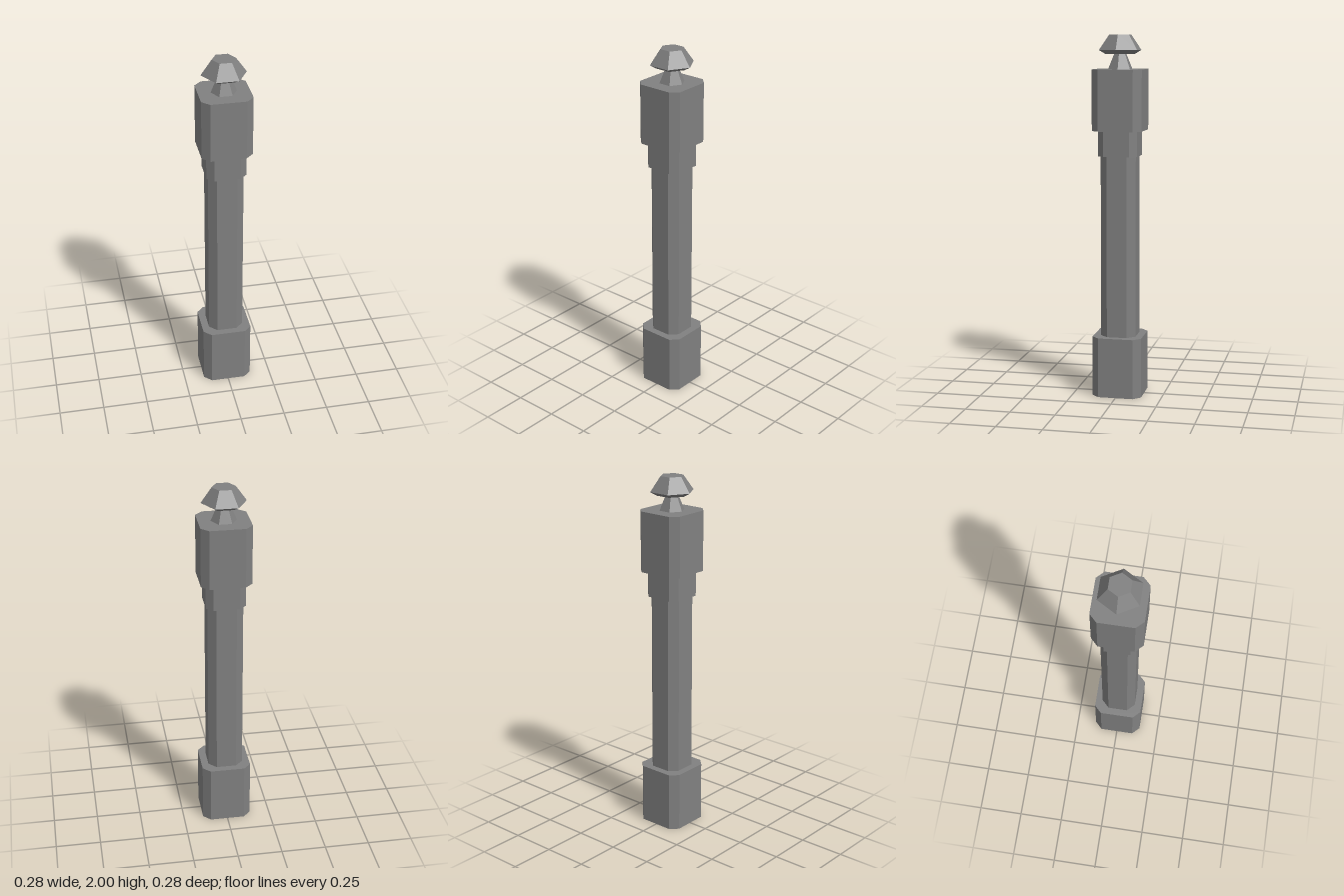
import * as THREE from 'three';

const material = new THREE.MeshStandardMaterial({ color: 0x808080, flatShading: true });

// Square prism with chamfered corners; w = half width, f = half width of the flat face
function chamferedBlock(name, w, f, y0, y1) {
  const shape = new THREE.Shape([
    [w, -f], [w, f], [f, w], [-f, w], [-w, f], [-w, -f], [-f, -w], [f, -w],
  ].map(([x, y]) => new THREE.Vector2(x, y)));
  const geometry = new THREE.ExtrudeGeometry(shape, { depth: y1 - y0, bevelEnabled: false });
  geometry.rotateX(-Math.PI / 2);
  geometry.translate(0, y0, 0);
  const mesh = new THREE.Mesh(geometry, material);
  mesh.name = name;
  return mesh;
}

// Six-sided turned part, with corners on the x axis
function hexTurned(name, profile) {
  const points = profile.map(([r, y]) => new THREE.Vector2(r, y));
  const mesh = new THREE.Mesh(new THREE.LatheGeometry(points, 6, Math.PI / 2), material);
  mesh.name = name;
  return mesh;
}

export function createModel() {
  const post = new THREE.Group();
  post.name = 'post';

  // Post, from the ground up
  post.add(
    chamferedBlock('base', 0.138, 0.097, 0, 0.336),
    chamferedBlock('shaft', 0.098, 0.056, 0.336, 1.342),
    chamferedBlock('collar', 0.109, 0.072, 1.342, 1.482),
    chamferedBlock('topBlock', 0.138, 0.097, 1.482, 1.815),
  );

  // Finial: tapering neck and faceted knob
  post.add(
    hexTurned('finialNeck', [[0, 1.815], [0.07, 1.815], [0.035, 1.897]]),
    hexTurned('finialKnob', [[0, 1.897], [0.085, 1.897], [0.122, 1.918], [0.064, 2], [0, 2]]),
  );
  return post;
}
